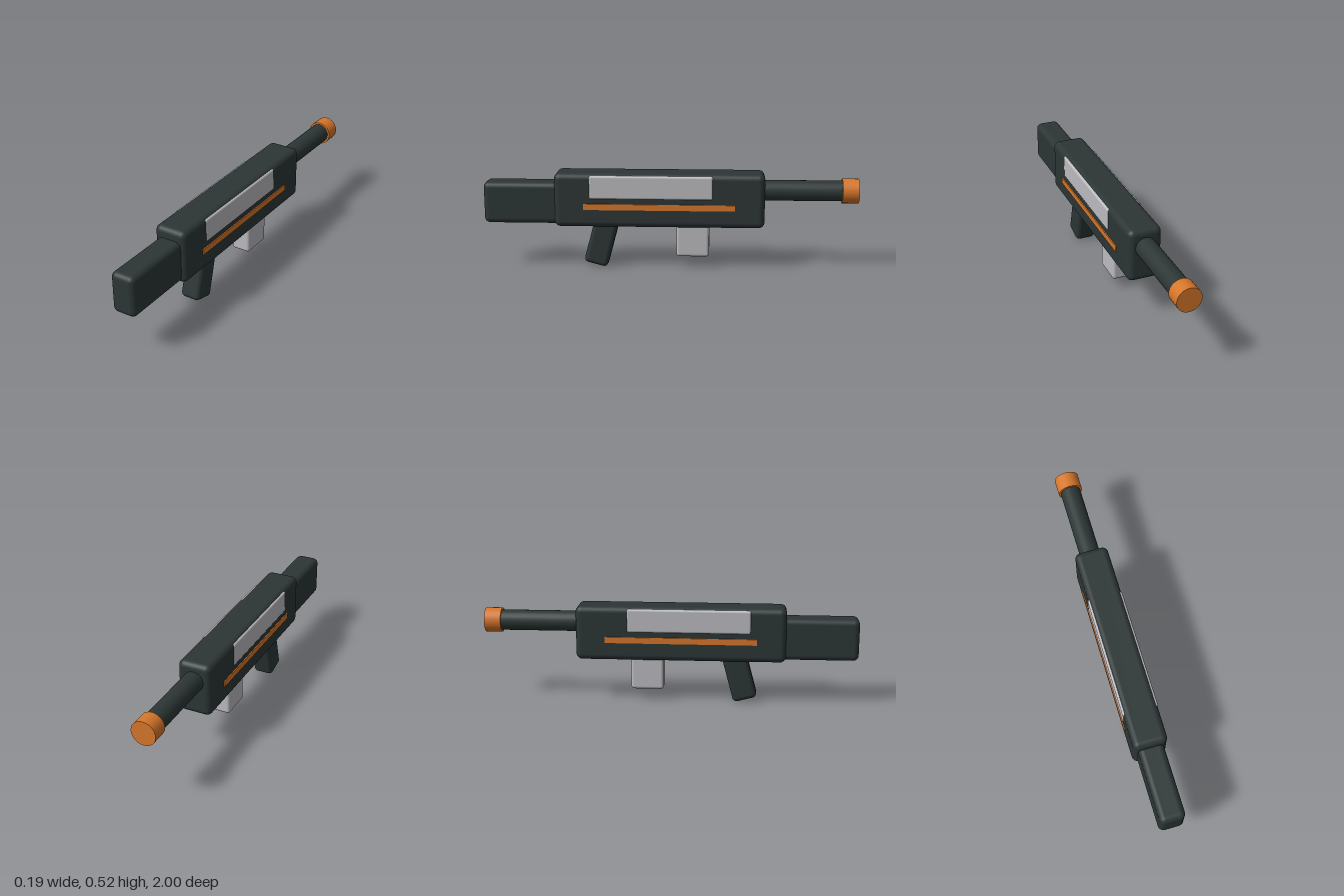
import * as THREE from 'three';
import { RoundedBoxGeometry } from 'three/addons/geometries/RoundedBoxGeometry.js';

const material = (name, color) => {
  const m = new THREE.MeshStandardMaterial({ color });
  m.name = name;
  return m;
};

export function createModel() {
  const model = new THREE.Group();
  model.name = 'toyBlaster';
  const dark = material('dark green grey', 0x2c3635);
  const orange = material('orange', 0xd6762a);
  const silver = material('light grey', 0xbcbcc1);

  const add = (name, geometry, mat, x, y, z) => {
    const mesh = new THREE.Mesh(geometry, mat);
    mesh.name = name;
    mesh.position.set(x, y, z);
    model.add(mesh);
    return mesh;
  };
  // Rounded block given by its extents along y and z
  const block = (name, mat, width, [y0, y1], [z0, z1], radius, x = 0) =>
    add(name, new RoundedBoxGeometry(width, y1 - y0, z1 - z0, 4, radius), mat,
      x, (y0 + y1) / 2, (z0 + z1) / 2);
  // Round bar lying along z
  const bar = (name, mat, radius, z0, z1) =>
    add(name, new THREE.CylinderGeometry(radius, radius, z1 - z0, 24).rotateX(Math.PI / 2), mat,
      0, 0.426, (z0 + z1) / 2);

  // Body and stock
  block('body', dark, 0.18, [0.232, 0.523], [-0.503, 0.617], 0.032);
  block('stock', dark, 0.134, [0.243, 0.467], [0.5, 1], 0.03);

  // Barrel and muzzle
  bar('barrel', dark, 0.055, -0.93, -0.45);
  bar('muzzle', orange, 0.066, -1, -0.912);

  // Slanted grip
  const grip = add('grip', new RoundedBoxGeometry(0.112, 0.28, 0.13, 4, 0.024), dark, 0, 0.15, 0.369);
  grip.rotation.x = -0.26;

  // Magazine
  block('magazine', silver, 0.106, [0.065, 0.28], [-0.21, -0.034], 0.016);

  // Side panels and stripes, mirrored
  for (const [side, s] of [['left', 1], ['right', -1]]) {
    block(side + 'Panel', silver, 0.03, [0.387, 0.512], [-0.228, 0.43], 0.011, s * 0.079);
    add(side + 'Stripe', new THREE.BoxGeometry(0.016, 0.032, 0.806), orange, s * 0.088, 0.345, 0.058);
  }
  return model;
}
